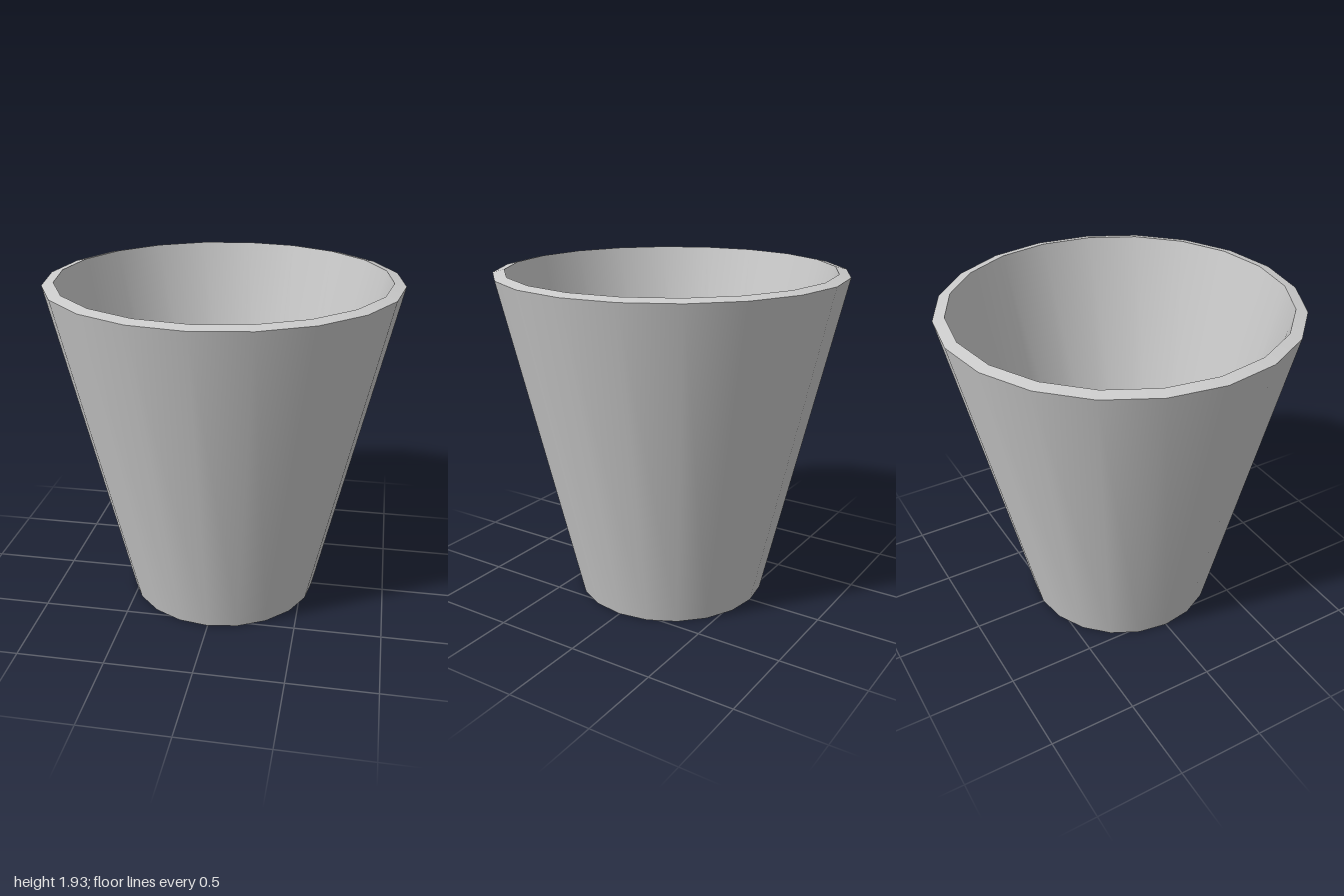
import * as THREE from 'three';

const SIDES = 20;

export function createModel() {
  const cup = new THREE.Group();
  cup.name = 'cup';
  const material = new THREE.MeshStandardMaterial({ color: 0xcccccc });

  // Profile corners as [radius, height], from the underside round to the inner floor
  const profile = [
    [0, 0],
    [0.56, 0],
    [1, 1.92],
    [0.935, 1.935],
    [0.505, 0.06],
    [0, 0.06],
  ];
  const names = ['base', 'outerWall', 'rim', 'innerWall', 'innerFloor'];

  // Each band is its own lathe, so it is smooth around and sharp at its edges
  names.forEach((name, i) => {
    const points = [profile[i], profile[i + 1]].map(([r, y]) => new THREE.Vector2(r, y));
    const band = new THREE.Mesh(new THREE.LatheGeometry(points, SIDES), material);
    band.name = name;
    cup.add(band);
  });

  return cup;
}
